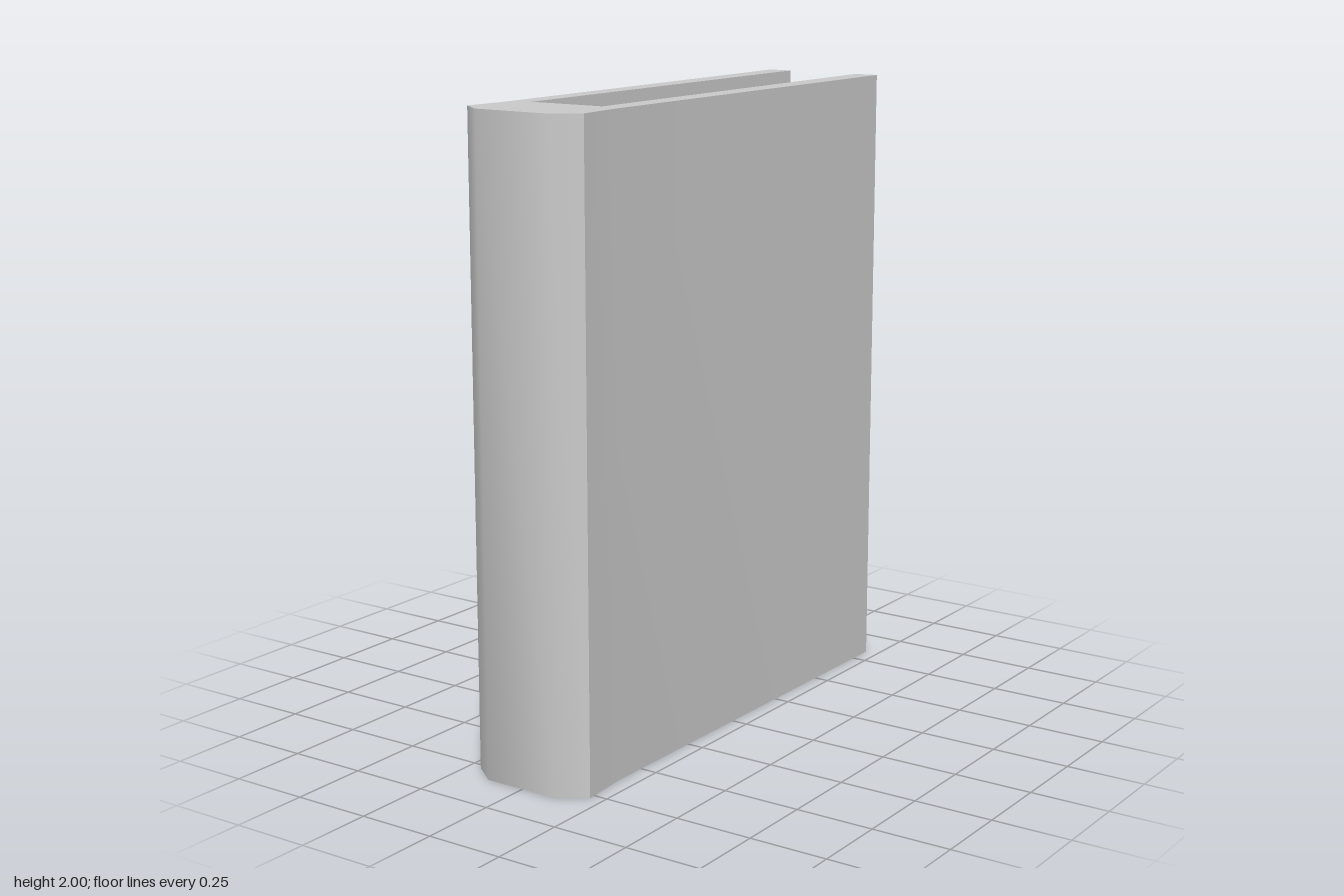
import * as THREE from 'three';
import { toCreasedNormals } from 'three/addons/utils/BufferGeometryUtils.js';

const HEIGHT = 2;
const RECESS = 0.1; // how far the pages sit inside the cover, top and bottom
const INNER = { left: -0.13, right: 0.125, front: 0.577 };

export function createModel() {
  const book = new THREE.Group();
  book.name = 'book';
  const material = new THREE.MeshStandardMaterial({ color: 0xcccccc });

  // Cover: U-shaped outline as [x, z], two boards joined by a bevelled spine
  const outline = [
    [-0.208, -0.835], [INNER.left, -0.835], [INNER.left, INNER.front],
    [INNER.right, INNER.front], [INNER.right, -0.835], [0.206, -0.835],
    [0.194, 0.61], [0.206, 0.772], [0.125, 0.832],
    [-0.13, 0.832], [-0.208, 0.772], [-0.196, 0.61],
  ];
  const shape = new THREE.Shape(outline.map(([x, z]) => new THREE.Vector2(x, -z)));
  const coverGeometry = new THREE.ExtrudeGeometry(shape, { depth: HEIGHT, bevelEnabled: false });
  coverGeometry.rotateX(-Math.PI / 2);
  // The spine bevels shade smoothly, all other corners stay sharp
  const cover = new THREE.Mesh(toCreasedNormals(coverGeometry, Math.PI / 4), material);
  cover.name = 'cover';
  book.add(cover);

  // Pages: a plain block set back from the cover edges
  const back = -0.743;
  const pages = new THREE.Mesh(
    new THREE.BoxGeometry(INNER.right - INNER.left, HEIGHT - 2 * RECESS, INNER.front - back),
    material
  );
  pages.position.set((INNER.left + INNER.right) / 2, HEIGHT / 2, (INNER.front + back) / 2);
  pages.name = 'pages';
  book.add(pages);

  return book;
}
